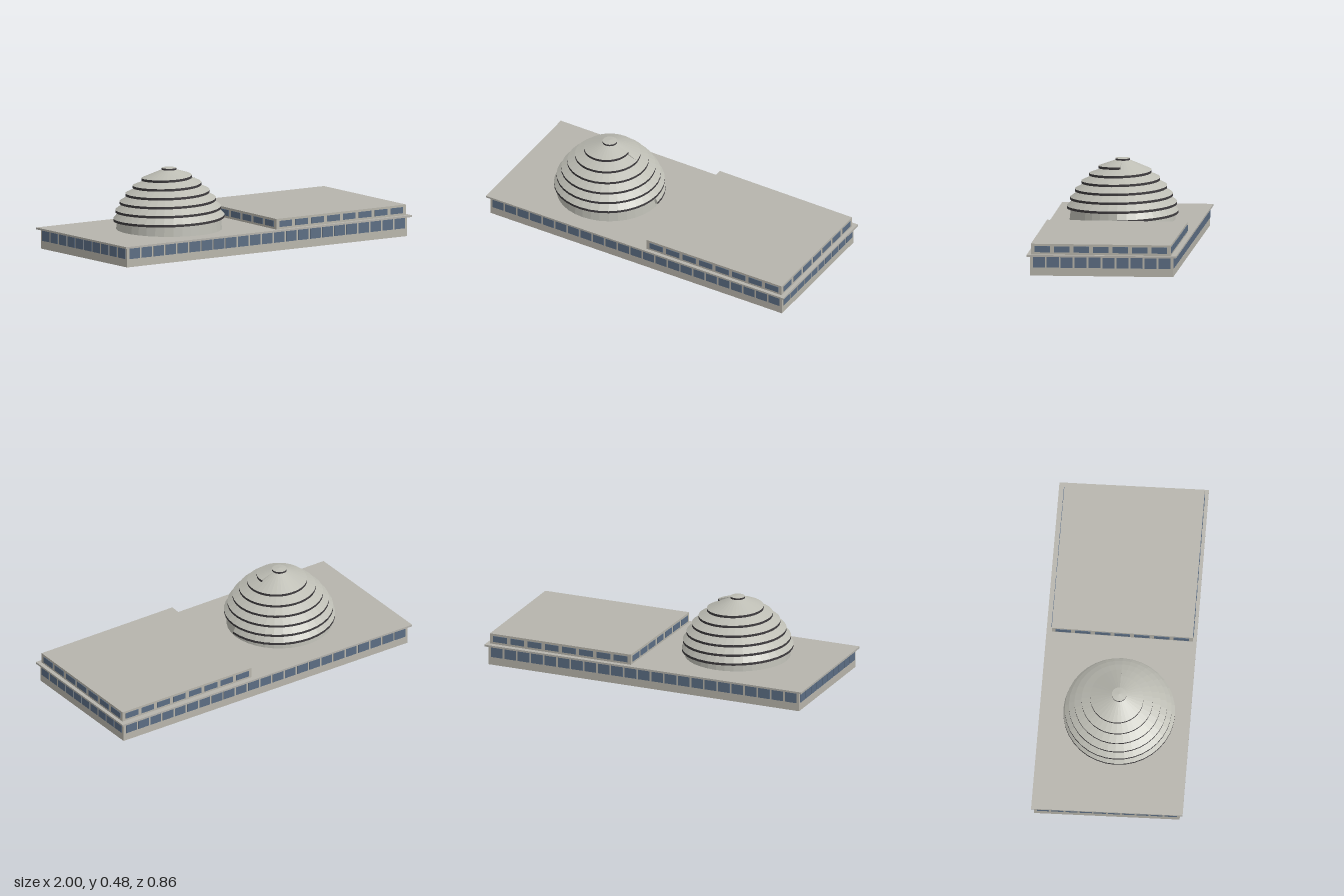
import * as THREE from 'three';

const concrete = new THREE.MeshStandardMaterial({ color: 0xb9b6ac, side: THREE.DoubleSide });
concrete.name = 'concrete';
const roofGrey = new THREE.MeshStandardMaterial({ color: 0xb6b4ad });
roofGrey.name = 'roofGrey';
const domeGrey = new THREE.MeshStandardMaterial({ color: 0xbdbdb4, side: THREE.DoubleSide });
domeGrey.name = 'domeGrey';
const darkTrim = new THREE.MeshStandardMaterial({ color: 0x403d40, side: THREE.DoubleSide });
darkTrim.name = 'darkTrim';
const glass = new THREE.MeshStandardMaterial({ color: 0x5c6e84 });
glass.name = 'glass';

// Footprints as [x, z], running front left of view, front right, back right, back left
const WALLS = [[-0.957, 0.413], [0.98, 0.413], [0.962, -0.402], [-0.98, -0.414]];
const SLAB = [[-0.976, 0.431], [1, 0.431], [0.981, -0.42], [-1, -0.431]];
const UPPER = [[0.078, 0.409], [0.975, 0.409], [0.96, -0.388], [0.078, -0.395]];

// Spiral dome: radius and height after t turns
const CX = -0.398, CZ = 0.026, TURNS = 6, SIDES = 36;
const BAND = 0.007, DEPTH = 0.02;
const radius = t => Math.min(0.318, 0.3263 - 0.0079 * t - 0.00432 * t * t);
const height = t => 0.152 + 0.0515 * t - 0.0009 * t * t;
const at = (t, r, y) => {
  const a = t * Math.PI * 2;
  return [r * Math.cos(a), y, -r * Math.sin(a)];
};
const outerTop = t => at(t, radius(t), height(t) + BAND);
const outerLow = t => at(t, radius(t), height(t) - BAND);
const innerTop = t => at(t, radius(t) - DEPTH, height(t) + BAND);
const innerLow = t => at(t, radius(t) - DEPTH, height(t) - BAND);
const capEdge = t => at(t, 0.04, 0.461);

function mesh(name, geometry, material) {
  const m = new THREE.Mesh(geometry, material);
  m.name = name;
  return m;
}

function prism(corners, y, h) {
  const shape = new THREE.Shape(corners.map(([x, z]) => new THREE.Vector2(x, -z)));
  return new THREE.ExtrudeGeometry(shape, { depth: h, bevelEnabled: false })
    .rotateX(-Math.PI / 2).translate(0, y, 0);
}

// Faceted geometry from quads, each given as four corners
function facets(quads) {
  const pos = quads.flatMap(([a, b, c, d]) => [...a, ...b, ...c, ...a, ...c, ...d]);
  const g = new THREE.BufferGeometry();
  g.setAttribute('position', new THREE.Float32BufferAttribute(pos, 3));
  g.computeVertexNormals();
  return g;
}

// Strip of quads between two curves
function ribbon(t0, t1, low, high) {
  const quads = [];
  const n = Math.round((t1 - t0) * SIDES);
  for (let i = 0; i < n; i++) {
    const a = t0 + (t1 - t0) * i / n, b = t0 + (t1 - t0) * (i + 1) / n;
    quads.push([low(a), low(b), high(b), high(a)]);
  }
  return quads;
}

// Runs a builder in a group whose +z faces out from each footprint edge
function eachSide(corners, name, build) {
  const all = new THREE.Group();
  all.name = name;
  corners.forEach(([x0, z0], i) => {
    const [x1, z1] = corners[(i + 1) % 4];
    const side = new THREE.Group();
    side.name = name + 'Side' + (i + 1);
    side.position.set((x0 + x1) / 2, 0, (z0 + z1) / 2);
    side.rotation.y = Math.atan2(z0 - z1, x1 - x0);
    build(side, Math.hypot(x1 - x0, z1 - z0), i);
    all.add(side);
  });
  return all;
}

function windowRow(side, length, count, fill, y0, y1) {
  const pitch = (length - 0.02) / count;
  const pane = new THREE.BoxGeometry(pitch * fill, y1 - y0, 0.004);
  for (let i = 0; i < count; i++) {
    const w = mesh('window', pane, glass);
    w.position.set((i + 0.5 - count / 2) * pitch, (y0 + y1) / 2, 0.001);
    side.add(w);
  }
}

function buildDome() {
  const dome = new THREE.Group();
  dome.name = 'dome';
  dome.position.set(CX, 0, CZ);

  // Drum under the first turn
  const drum = new THREE.CylinderGeometry(0.294, 0.302, 0.075, SIDES, 1, true).toNonIndexed();
  drum.computeVertexNormals();
  drum.translate(0, 0.1575, 0);
  dome.add(mesh('drum', drum, domeGrey));

  // Overlapping spiral shell, with the last turn closing on the cap and seams at both ends
  const last = TURNS - 1;
  dome.add(mesh('spiralShell', facets([
    ...ribbon(0, last, outerTop, t => innerLow(t + 1)),
    ...ribbon(last, TURNS, outerTop, capEdge),
    [at(0, 0.295, 0.145), outerLow(0), outerTop(0), innerLow(1)],
    [innerLow(TURNS), outerTop(TURNS), capEdge(TURNS), capEdge(TURNS)],
  ]), domeGrey));

  // Dark band along the lower edge of every turn
  dome.add(mesh('spiralBand', facets([
    ...ribbon(0, TURNS, outerLow, outerTop),
    ...ribbon(0, TURNS, innerLow, outerLow),
    [innerLow(0), outerLow(0), outerTop(0), innerTop(0)],
    [innerLow(TURNS), outerLow(TURNS), outerTop(TURNS), innerTop(TURNS)],
  ]), darkTrim));

  // Small cap at the top
  const rim = new THREE.CylinderGeometry(0.042, 0.042, 0.011, 24);
  dome.add(mesh('capRim', rim.translate(0, 0.4645, 0), darkTrim));
  const top = new THREE.ConeGeometry(0.042, 0.005, 24, 1, true);
  dome.add(mesh('capTop', top.translate(0, 0.473, 0), domeGrey));
  return dome;
}

export function createModel() {
  const model = new THREE.Group();
  model.name = 'domedBuilding';

  // Ground storey: open-bottomed walls with a row of windows
  model.add(eachSide(WALLS, 'groundStorey', (side, length, i) => {
    const wall = new THREE.PlaneGeometry(length, 0.111).translate(0, 0.0555, 0);
    side.add(mesh('wall', wall, concrete));
    windowRow(side, length, i % 2 ? 10 : 23, 0.86, 0.047, 0.108);
  }));
  model.add(mesh('roofSlab', prism(SLAB, 0.11, 0.011), roofGrey));

  // Upper storey
  model.add(mesh('upperStorey', prism(UPPER, 0.121, 0.061), [roofGrey, concrete]));
  model.add(eachSide(UPPER, 'upperWindows', (side, length, i) => {
    windowRow(side, length, i % 2 ? 7 : 8, 0.79, 0.134, 0.169);
  }));

  model.add(buildDome());
  return model;
}
